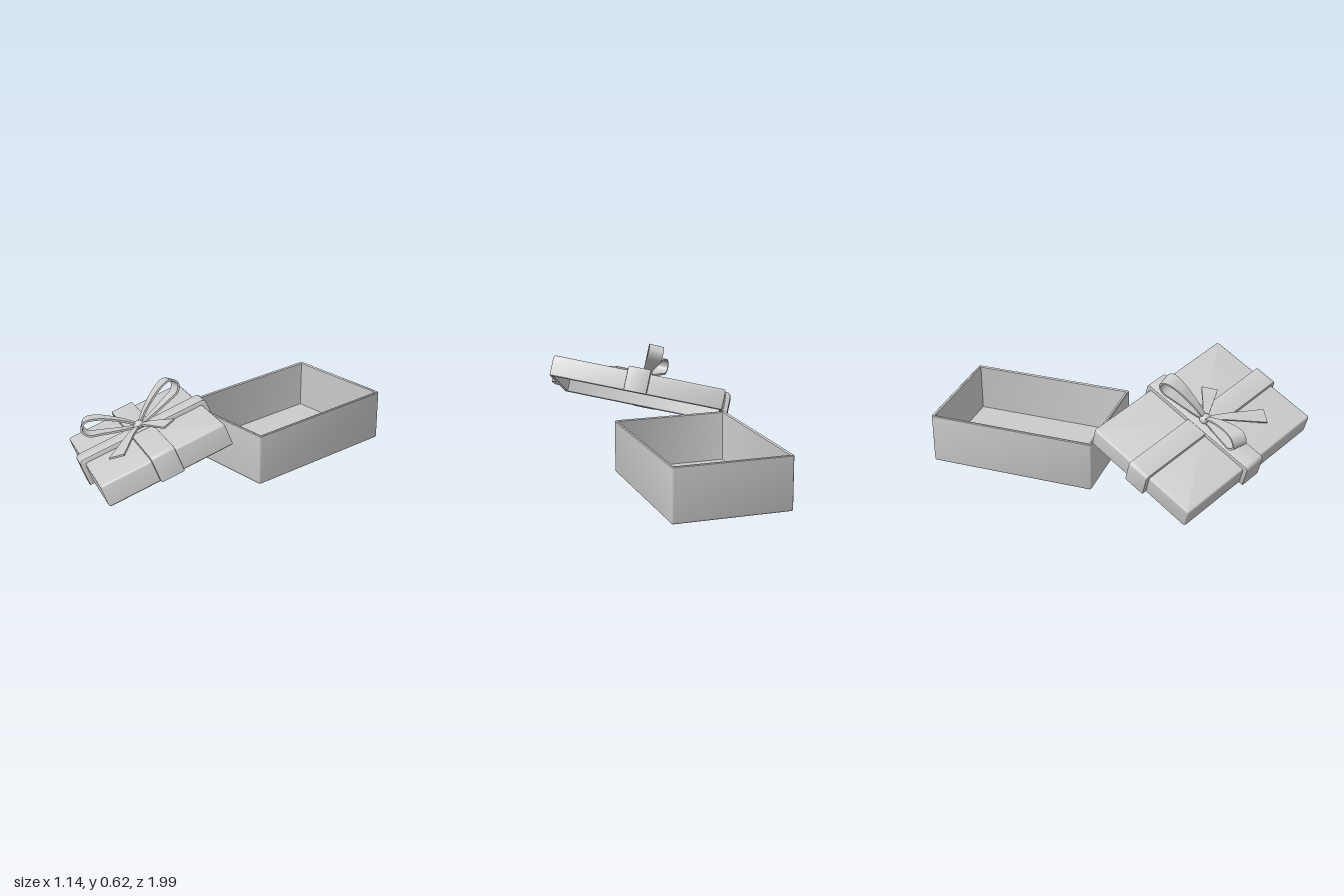
import * as THREE from 'three';
import { toCreasedNormals } from 'three/addons/utils/BufferGeometryUtils.js';

const material = new THREE.MeshStandardMaterial({ color: 0xcccccc });

function addMesh(parent, geometry, name) {
  const mesh = new THREE.Mesh(geometry, material);
  mesh.name = name;
  parent.add(mesh);
  return mesh;
}

function indexed(positions, indices) {
  const g = new THREE.BufferGeometry();
  g.setAttribute('position', new THREE.Float32BufferAttribute(positions, 3));
  g.setIndex(indices);
  return toCreasedNormals(g, 0.65);
}

// Joins rings of equal size into a skin; flip chooses the winding
function skin(indices, rings, n, flip) {
  for (let j = 0; j < rings - 1; j++) {
    for (let i = 0; i < n; i++) {
      const a = j * n + i, b = j * n + (i + 1) % n, c = b + n, d = a + n;
      if (flip) indices.push(a, d, b, b, d, c);
      else indices.push(a, b, d, b, c, d);
    }
  }
}

// Open tray with rounded edges: rounded-rectangle rings from the bottom centre,
// up the outside, over the rim and down to the inner floor centre
function tray(w, h, d, wall, r) {
  const rings = [[0, 0, 0]]; // [inset, y, scale]
  for (let i = 0; i <= 3; i++) {
    const a = (i / 3) * Math.PI / 2;
    rings.push([r * (1 - Math.sin(a)), r * (1 - Math.cos(a)), 1]);
  }
  const e = 0.004;
  rings.push([0, h - e, 1], [e, h, 1], [wall - e, h, 1], [wall, h - e, 1], [wall, wall, 1], [wall, wall, 0]);
  const pos = [], idx = [], seg = 4;
  for (const [inset, y, scale] of rings) {
    const cr = Math.max(r - inset, 0.003);
    for (let q = 0; q < 4; q++) {
      const sx = q === 0 || q === 3 ? 1 : -1, sz = q < 2 ? 1 : -1;
      for (let k = 0; k <= seg; k++) {
        const a = (q + k / seg) * Math.PI / 2;
        pos.push(scale * (sx * (w / 2 - inset - cr) + cr * Math.cos(a)), y,
          scale * (sz * (d / 2 - inset - cr) + cr * Math.sin(a)));
      }
    }
  }
  skin(idx, rings.length, 4 * (seg + 1), true);
  return indexed(pos, idx);
}

// Flat strip swept along a path in the XY plane; width varies with x
function strip(points, widthAt, thickness, steps) {
  const curve = new THREE.CatmullRomCurve3(points.map(([x, y]) => new THREE.Vector3(x, y, 0)));
  const pos = [], idx = [];
  for (let j = 0; j <= steps; j++) {
    const p = curve.getPointAt(j / steps), t = curve.getTangentAt(j / steps);
    const nx = -t.y * -1 * thickness / 2, ny = -t.x * thickness / 2;
    const w = widthAt(p.x) / 2;
    for (const [s, n] of [[1, 1], [-1, 1], [-1, -1], [1, -1]]) {
      pos.push(p.x + n * nx, p.y + n * ny, s * w);
    }
  }
  skin(idx, steps + 1, 4, false);
  const e = steps * 4;
  idx.push(0, 2, 1, 0, 3, 2, e, e + 1, e + 2, e, e + 2, e + 3);
  return indexed(pos, idx);
}

// U-shaped ribbon that lies over the lid and folds down both sides
function band(length, width, rise, drop) {
  const x = length / 2 + 0.025, inner = length / 2 - 0.006, b = 0.005, r = 0.022;
  const s = new THREE.Shape();
  s.moveTo(-x + b, -drop + b);
  s.lineTo(-inner, -drop + b);
  s.lineTo(-inner, -0.008);
  s.lineTo(inner, -0.008);
  s.lineTo(inner, -drop + b);
  s.lineTo(x - b, -drop + b);
  s.lineTo(x - b, rise - r - b);
  s.quadraticCurveTo(x - b, rise - b, x - r - b, rise - b);
  s.lineTo(-x + r + b, rise - b);
  s.quadraticCurveTo(-x + b, rise - b, -x + b, rise - r - b);
  const g = new THREE.ExtrudeGeometry(s, {
    depth: width - 2 * b, bevelEnabled: true, bevelThickness: b, bevelSize: b, bevelSegments: 2, curveSegments: 5,
  });
  g.translate(0, 0, -width / 2 + b);
  return toCreasedNormals(g, 0.65);
}

export function createModel() {
  const model = new THREE.Group();
  model.name = 'giftBox';

  // Open box standing on the ground
  addMesh(model, tray(0.64, 0.29, 0.945, 0.016, 0.012), 'box').position.set(0.005, 0, -0.5275);

  // Tilted lid; the group's origin is the centre of its top face
  const lid = new THREE.Group();
  lid.name = 'lid';
  const long = new THREE.Vector3(0.886, 0.175, 0.43).normalize();
  const up = new THREE.Vector3(-0.355, -0.354, 0.869).cross(long).normalize();
  const short = long.clone().cross(up);
  lid.quaternion.setFromRotationMatrix(new THREE.Matrix4().makeBasis(long, up, short));
  lid.position.set(-0.018, 0.37, 0.487);
  model.add(lid);

  const L = 0.99, W = 0.69, H = 0.119;
  addMesh(lid, tray(L, H, W, 0.018, 0.014), 'lidShell').rotation.x = Math.PI;

  // Crossing ribbon bands
  addMesh(lid, band(L, 0.13, 0.021, H), 'longRibbon');
  addMesh(lid, band(W, 0.13, 0.024, H), 'crossRibbon').rotation.y = Math.PI / 2;

  // Bow
  const bow = new THREE.Group();
  bow.name = 'bow';
  bow.position.y = 0.036;
  lid.add(bow);
  addMesh(bow, new THREE.SphereGeometry(0.032, 20, 14), 'knot').scale.y = 0.85;

  const aim = (mesh, x, z) => { mesh.rotation.y = Math.atan2(-z, x); };

  // Two teardrop loops
  const loopPath = [[0, 0.005], [0.09, 0.075], [0.19, 0.13], [0.25, 0.14], [0.282, 0.105],
    [0.262, 0.066], [0.19, 0.042], [0.09, 0.015], [0, -0.005]];
  const loopGeometry = strip(loopPath, (x) => 0.025 + 0.06 * Math.min(1, Math.max(0, x) / 0.24), 0.011, 56);
  for (const side of [-1, 1]) {
    aim(addMesh(bow, loopGeometry, side < 0 ? 'backLoop' : 'frontLoop'), -0.058, side * 0.258);
  }

  // Two flared tails
  for (const [name, x, z] of [['backTail', 0.18, -0.13], ['frontTail', 0.28, 0.195]]) {
    const r = Math.hypot(x, z);
    const path = [[0, 0], [r * 0.35, 0.004], [r * 0.7, -0.004], [r, -0.01]];
    aim(addMesh(bow, strip(path, (d) => 0.022 + 0.068 * d / r, 0.01, 14), name), x, z);
  }
  return model;
}
